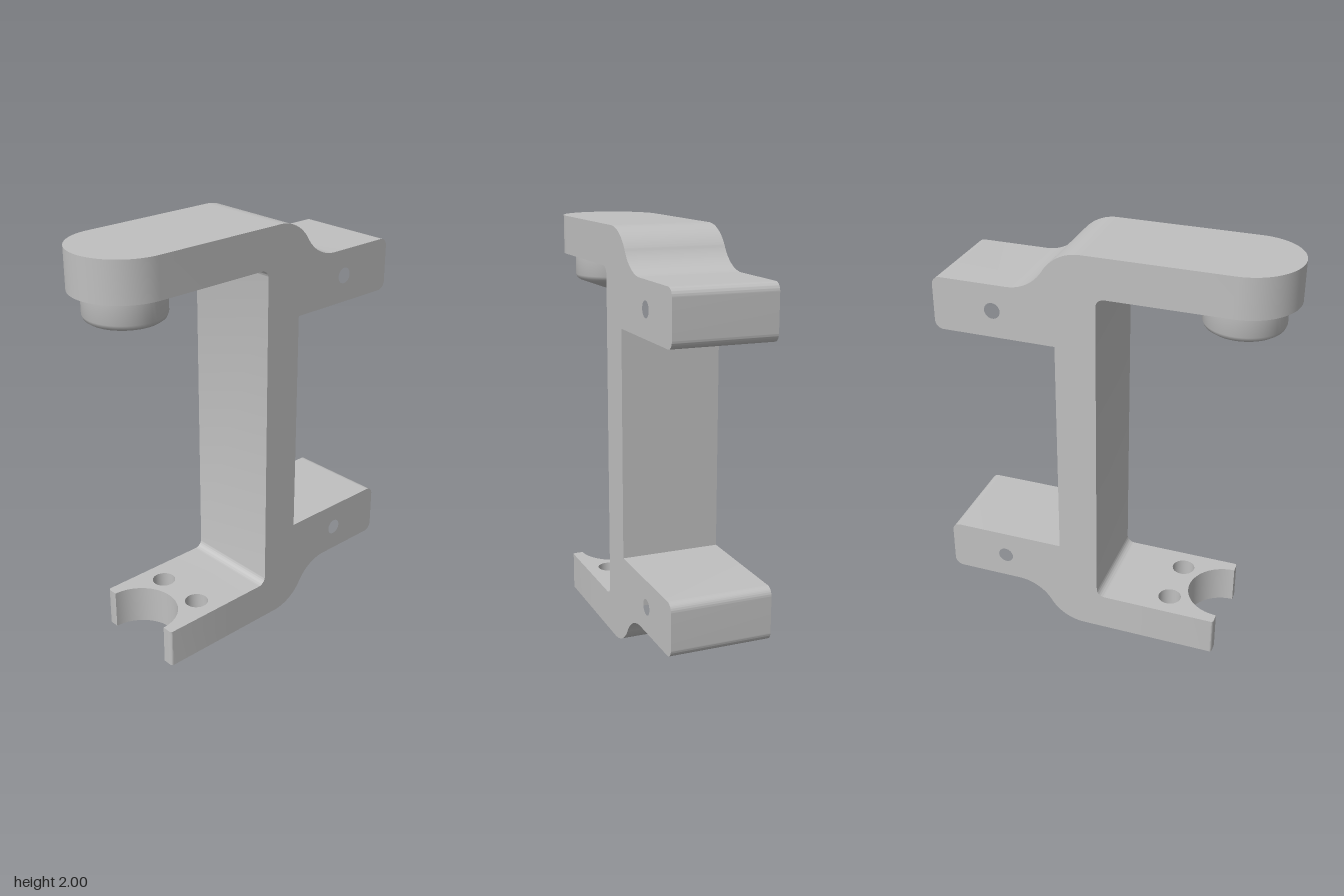
import * as THREE from 'three';
import { toCreasedNormals } from 'three/addons/utils/BufferGeometryUtils.js';

const HALF = 0.242;    // half of the bracket's width
const END = -0.64;     // centre of the arm ends
const JOIN = -0.25;    // where the arm ends meet the side profile
const rad = THREE.MathUtils.degToRad;

function hole(x, y, r) {
  return new THREE.Path().absarc(x, y, r, 0, Math.PI * 2, true);
}

function extrude(shape, depth) {
  const geo = new THREE.ExtrudeGeometry(shape, { depth, bevelEnabled: false, curveSegments: 24 });
  return toCreasedNormals(geo, 0.5);
}

// Side profile: the upper half is drawn and mirrored about y = 1
function bodyGeometry() {
  const half = new THREE.Path();
  half.moveTo(-0.039, 1);
  half.absarc(-0.079, 1.77, 0.04, 0, rad(90), false);
  half.lineTo(JOIN, 1.81);
  half.lineTo(JOIN, 2);
  half.absarc(0.03, 1.794, 0.206, rad(90), rad(32), true);
  half.absarc(0.38, 2.011, 0.206, rad(212), rad(270), false);
  half.absarc(0.70, 1.765, 0.04, rad(90), 0, true);
  half.absarc(0.70, 1.59, 0.04, 0, rad(-90), true);
  half.lineTo(0.155, 1.55);
  half.lineTo(0.155, 1);
  const upper = half.getPoints(16);
  const lower = upper.slice(1, -1).reverse().map(p => new THREE.Vector2(p.x, 2 - p.y));
  const shape = new THREE.Shape([...upper.slice(1, -1), ...lower]);
  // Cross holes through both lugs
  for (const y of [0.321, 1.679]) shape.holes.push(hole(0.451, y, 0.038));
  return extrude(shape, HALF * 2).translate(0, 0, -HALF);
}

// Rounded end of the upper arm, in plan
function upperArmShape() {
  const s = new THREE.Shape();
  s.moveTo(JOIN, -HALF);
  s.lineTo(JOIN, HALF);
  s.absarc(END, 0, HALF, rad(90), rad(270), false);
  return s;
}

// Forked end of the lower arm with a half-round notch and two holes, in plan
function lowerArmShape() {
  const r = 0.012;
  const s = new THREE.Shape();
  s.moveTo(JOIN, -HALF);
  s.lineTo(JOIN, HALF);
  s.absarc(END + r, HALF - r, r, rad(90), rad(180), false);
  s.lineTo(END, 0.187);
  s.absarc(END, 0, 0.187, rad(90), rad(-90), true);
  s.absarc(END + r, -HALF + r, r, rad(180), rad(270), false);
  for (const v of [-0.125, 0.125]) s.holes.push(hole(-0.385, v, 0.056));
  return s;
}

// Round plug with a softened rim and a conical tip
function plugGeometry() {
  const points = [
    [0, 1.617], [0.145, 1.669], [0.164, 1.676], [0.178, 1.686], [0.185, 1.703], [0.185, 1.81],
  ].map(([x, y]) => new THREE.Vector2(x, y));
  return toCreasedNormals(new THREE.LatheGeometry(points, 48), 0.6);
}

export function createModel() {
  const grey = new THREE.MeshStandardMaterial({ color: 0xc0c0c0 });
  grey.name = 'grey';
  const bracket = new THREE.Group();
  bracket.name = 'bracket';

  function add(name, geometry) {
    const mesh = new THREE.Mesh(geometry, grey);
    mesh.name = name;
    bracket.add(mesh);
    return mesh;
  }

  add('postAndLugs', bodyGeometry());
  add('upperArmEnd', extrude(upperArmShape(), 0.19).rotateX(-Math.PI / 2)).position.y = 1.81;
  add('lowerArmFork', extrude(lowerArmShape(), 0.19).rotateX(-Math.PI / 2));
  add('plug', plugGeometry()).position.x = END;

  // The bracket stands diagonally
  bracket.rotation.y = Math.PI / 4;
  const model = new THREE.Group();
  model.name = 'model';
  model.add(bracket);
  return model;
}
